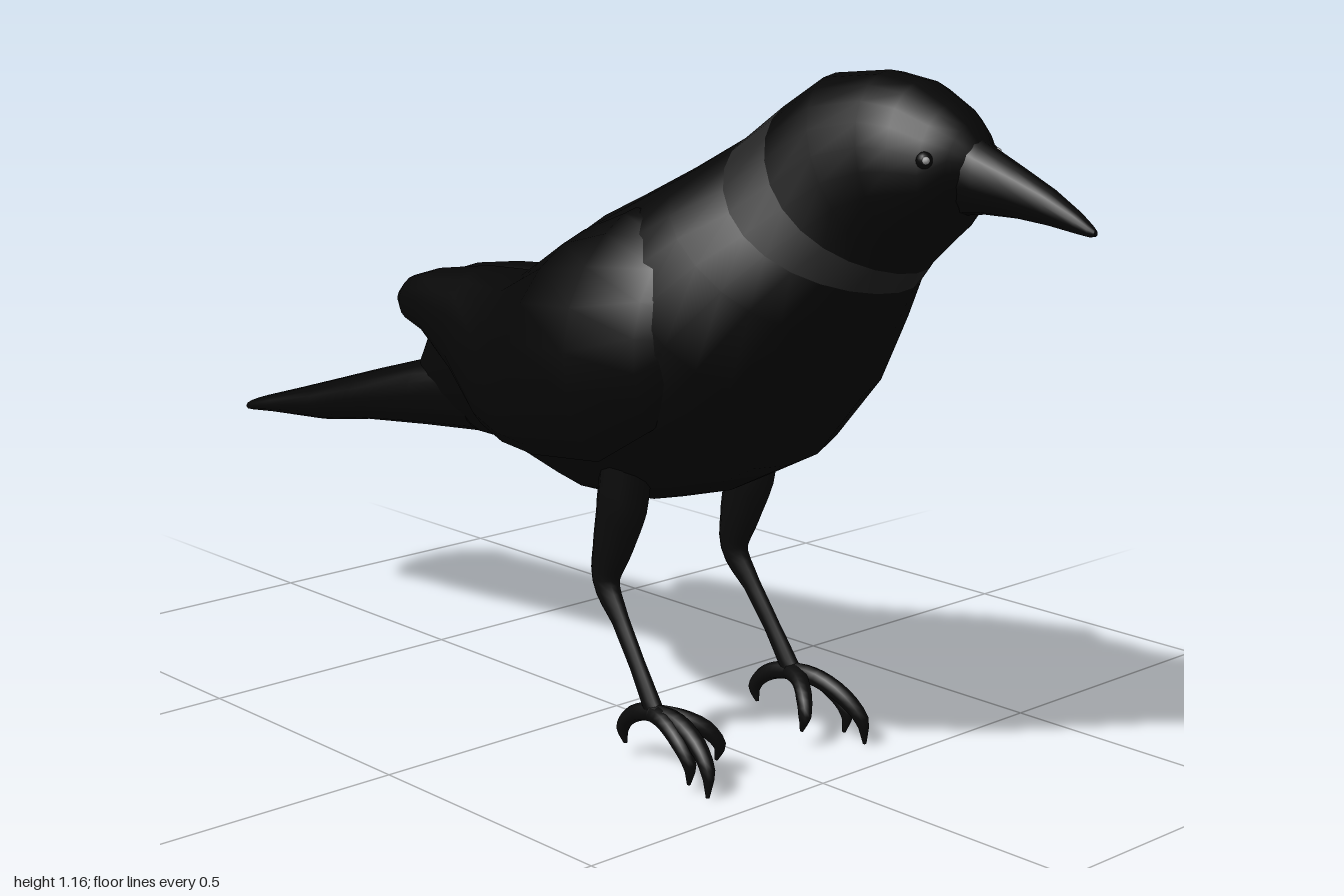
import * as THREE from 'three';

const mat = (color) => new THREE.MeshStandardMaterial({ color });
const V = (x, y, z) => new THREE.Vector3(x, y, z);

// Skin closed loops of points into a capped solid with outward faces
function loft(rings) {
  const n = rings[0].length, pos = [], idx = [];
  const add = (p) => pos.push(p.x, p.y, p.z) / 3 - 1;
  rings.forEach((ring) => ring.forEach(add));
  for (let r = 0; r < rings.length - 1; r++) {
    for (let i = 0; i < n; i++) {
      const a = r * n + i, b = r * n + (i + 1) % n;
      idx.push(a, b, a + n, b, b + n, a + n);
    }
  }
  [rings[0], rings[rings.length - 1]].forEach((ring, end) => {
    const mid = ring.reduce((s, p) => s.add(p), V(0, 0, 0)).divideScalar(n);
    const c = add(mid), first = pos.length / 3;
    ring.forEach(add);
    for (let i = 0; i < n; i++) {
      const a = first + i, b = first + (i + 1) % n;
      if (end) idx.push(c, a, b); else idx.push(c, b, a);
    }
  });
  // a negative enclosed volume means the faces point inwards
  const at = (i) => V(pos[3 * i], pos[3 * i + 1], pos[3 * i + 2]);
  let volume = 0;
  for (let i = 0; i < idx.length; i += 3) volume += at(idx[i]).dot(at(idx[i + 1]).cross(at(idx[i + 2])));
  if (volume < 0) idx.reverse();
  const geo = new THREE.BufferGeometry();
  geo.setAttribute('position', new THREE.Float32BufferAttribute(pos, 3));
  geo.setIndex(idx);
  geo.computeVertexNormals();
  return geo;
}

// Slanted oval from a top point, a bottom point and a half width; sag pulls its sides down and back
function oval([topZ, topY, botZ, botY, w, sag = 0], power = 1, n = 24) {
  return Array.from({ length: n }, (_, i) => {
    const t = (i / n) * Math.PI * 2;
    const bend = (v) => Math.sign(v) * Math.abs(v) ** power;
    const k = (1 + bend(Math.cos(t))) / 2, drop = sag * Math.sin(t) ** 2;
    return V(w * bend(Math.sin(t)), botY + (topY - botY) * k - drop, botZ + (topZ - botZ) * k - drop);
  });
}

// Tapered limb along a smooth path; stations are [x, y, z, radius], depth widens it front to back
function limb(stations, steps, n, depth = 1) {
  const curve = new THREE.CatmullRomCurve3(stations.map((s) => V(s[0], s[1], s[2])));
  const last = stations.length - 1, rings = [];
  for (let i = 0; i <= steps; i++) {
    const u = i / steps, p = curve.getPoint(u), dir = curve.getTangent(u);
    const k = Math.min(Math.floor(u * last), last - 1);
    const r = THREE.MathUtils.lerp(stations[k][3], stations[k + 1][3], u * last - k);
    const side = V(1, 0, 0).addScaledVector(dir, -dir.x).normalize();
    const up = dir.clone().cross(side);
    rings.push(Array.from({ length: n }, (_, j) => {
      const t = (j / n) * Math.PI * 2;
      return p.clone().addScaledVector(side, r * Math.cos(t)).addScaledVector(up, r * depth * Math.sin(t));
    }));
  }
  return loft(rings);
}

// Folded wing stations: z, centre x, centre y, half height, half thickness, lean, curl
const WING = [
  [0.47, 0.155, 0.81, 0.03, 0.012, 0.25, 0],
  [0.41, 0.18, 0.79, 0.10, 0.028, 0.25, 0.02],
  [0.33, 0.22, 0.765, 0.165, 0.038, 0.24, 0.04],
  [0.22, 0.26, 0.74, 0.205, 0.048, 0.2, 0.065],
  [0.05, 0.215, 0.71, 0.195, 0.06, 0.38, 0.06],
  [-0.06, 0.165, 0.68, 0.175, 0.06, 0.48, 0.045],
  [-0.16, 0.125, 0.655, 0.145, 0.058, 0.55, 0.035],
  [-0.30, 0.08, 0.668, 0.105, 0.056, 0.5, 0.02],
  [-0.43, 0.057, 0.677, 0.062, 0.045, 0.4, 0.005],
  [-0.50, 0.05, 0.672, 0.042, 0.035, 0.3, 0],
  [-0.53, 0.05, 0.67, 0.018, 0.016, 0.3, 0],
];
function wing(side) {
  return loft(WING.map(([z, cx, cy, h, t, lean, curl]) => Array.from({ length: 18 }, (_, i) => {
    const a = (i / 18) * Math.PI * 2, s = Math.cos(a), across = t * Math.sin(a) - curl * s * s;
    return V(side * (cx + across * Math.cos(lean) - h * s * Math.sin(lean)),
      cy + h * s * Math.cos(lean) + across * Math.sin(lean), z);
  })));
}

export function createModel() {
  const model = new THREE.Group();
  const black = mat(0x060606), grey = mat(0x242424), legBlack = mat(0x0b0b0b), glint = mat(0xaaaaaa);
  const part = (name, geo, material, parent = model) => {
    const mesh = new THREE.Mesh(geo, material);
    mesh.name = name;
    parent.add(mesh);
    return mesh;
  };

  // Head, collar and trunk share their border rings
  const collarFront = [0.42, 1.1, 0.672, 0.862, 0.135, 0.025];
  const collarBack = [0.345, 1.045, 0.638, 0.828, 0.162, 0.025];
  const head = [
    [0.80, 1.06, 0.785, 0.98, 0.03], [0.775, 1.095, 0.765, 0.958, 0.058], [0.74, 1.122, 0.74, 0.925, 0.084],
    [0.68, 1.152, 0.712, 0.9, 0.102], [0.61, 1.162, 0.692, 0.882, 0.11],
    [0.50, 1.15, 0.68, 0.87, 0.118, 0.01], collarFront,
  ];
  const trunk = [
    collarBack, [0.25, 0.99, 0.585, 0.755, 0.205, 0.01], [0.14, 0.935, 0.51, 0.632, 0.25],
    [0.05, 0.895, 0.41, 0.516, 0.258], [-0.01, 0.86, 0.28, 0.45, 0.248], [-0.08, 0.815, 0.17, 0.418, 0.228],
    [-0.15, 0.77, 0.04, 0.405, 0.2], [-0.23, 0.735, -0.09, 0.425, 0.165],
    [-0.32, 0.715, -0.21, 0.443, 0.13], [-0.43, 0.66, -0.36, 0.442, 0.1],
    [-0.47, 0.6, -0.42, 0.45, 0.08],
  ];
  part('head', loft(head.map((r) => oval(r))), black);
  part('collar', loft([collarFront, collarBack].map((r) => oval(r))), grey);
  part('trunk', loft(trunk.map((r, i) => oval(r, i ? 0.92 : 1))), black);

  // Tail, flattening toward a blunt rounded end
  const tail = [[-0.30, 0.60, 0.45, 0.1], [-0.45, 0.57, 0.437, 0.11], [-0.62, 0.52, 0.42, 0.118],
    [-0.75, 0.48, 0.398, 0.12], [-0.88, 0.44, 0.391, 0.122], [-0.945, 0.42, 0.389, 0.13],
    [-0.985, 0.407, 0.391, 0.075], [-1, 0.402, 0.393, 0.03]];
  part('tail', loft(tail.map(([z, top, bottom, w]) => oval([z, top, z, bottom, w], 0.75))), black);

  // Beak with a drooping tip
  const beak = [[0.73, 1.105, 0.955, 0.055], [0.80, 1.068, 0.965, 0.038], [0.86, 1.042, 0.966, 0.03],
    [0.92, 1.015, 0.962, 0.023], [0.97, 0.987, 0.956, 0.014], [0.99, 0.973, 0.954, 0.009], [1, 0.965, 0.956, 0.004]];
  part('beak', loft(beak.map(([z, top, bottom, w]) => oval([z, top, z, bottom, w], 1, 14))), black);

  // Toes: each ends in a downturned claw
  const toes = {
    innerToe: [[0.16, 0.1, 0.27, 0.016], [0.14, 0.098, 0.31, 0.015], [0.115, 0.082, 0.345, 0.014], [0.1, 0.055, 0.362, 0.011], [0.1, 0.028, 0.355, 0.003]],
    middleToe: [[0.16, 0.1, 0.27, 0.017], [0.164, 0.1, 0.33, 0.016], [0.172, 0.078, 0.385, 0.015], [0.18, 0.045, 0.418, 0.012], [0.184, 0.003, 0.422, 0.003]],
    outerToe: [[0.16, 0.1, 0.27, 0.016], [0.173, 0.098, 0.31, 0.015], [0.182, 0.075, 0.355, 0.014], [0.184, 0.045, 0.38, 0.011], [0.182, 0.012, 0.376, 0.003]],
    backToe: [[0.16, 0.1, 0.27, 0.016], [0.158, 0.092, 0.235, 0.015], [0.156, 0.075, 0.205, 0.014], [0.155, 0.05, 0.188, 0.011], [0.155, 0.026, 0.195, 0.003]],
  };
  const legPath = [[0.147, 0.52, 0.19, 0.037], [0.147, 0.43, 0.176, 0.036], [0.147, 0.36, 0.155, 0.029],
    [0.149, 0.295, 0.14, 0.02], [0.153, 0.235, 0.18, 0.013], [0.157, 0.17, 0.226, 0.012], [0.16, 0.1, 0.272, 0.014]];

  for (const side of [1, -1]) {
    const name = side > 0 ? 'left' : 'right';
    const flip = (path) => path.map(([x, ...rest]) => [side * x, ...rest]);
    part(name + 'Wing', wing(side), black);

    // Leg and foot
    const leg = new THREE.Group();
    leg.name = name + 'Leg';
    model.add(leg);
    part('shank', limb(flip(legPath), 24, 12, 1.35), legBlack, leg);
    for (const toe in toes) part(toe, limb(flip(toes[toe]), 12, 8), legBlack, leg);

    // Eye with a small highlight
    part(name + 'Eye', new THREE.SphereGeometry(0.013, 14, 10), black).position.set(side * 0.073, 1.045, 0.745);
    part(name + 'EyeGlint', new THREE.SphereGeometry(0.006, 8, 6), glint).position.set(side * 0.08, 1.046, 0.754);
  }
  return model;
}
